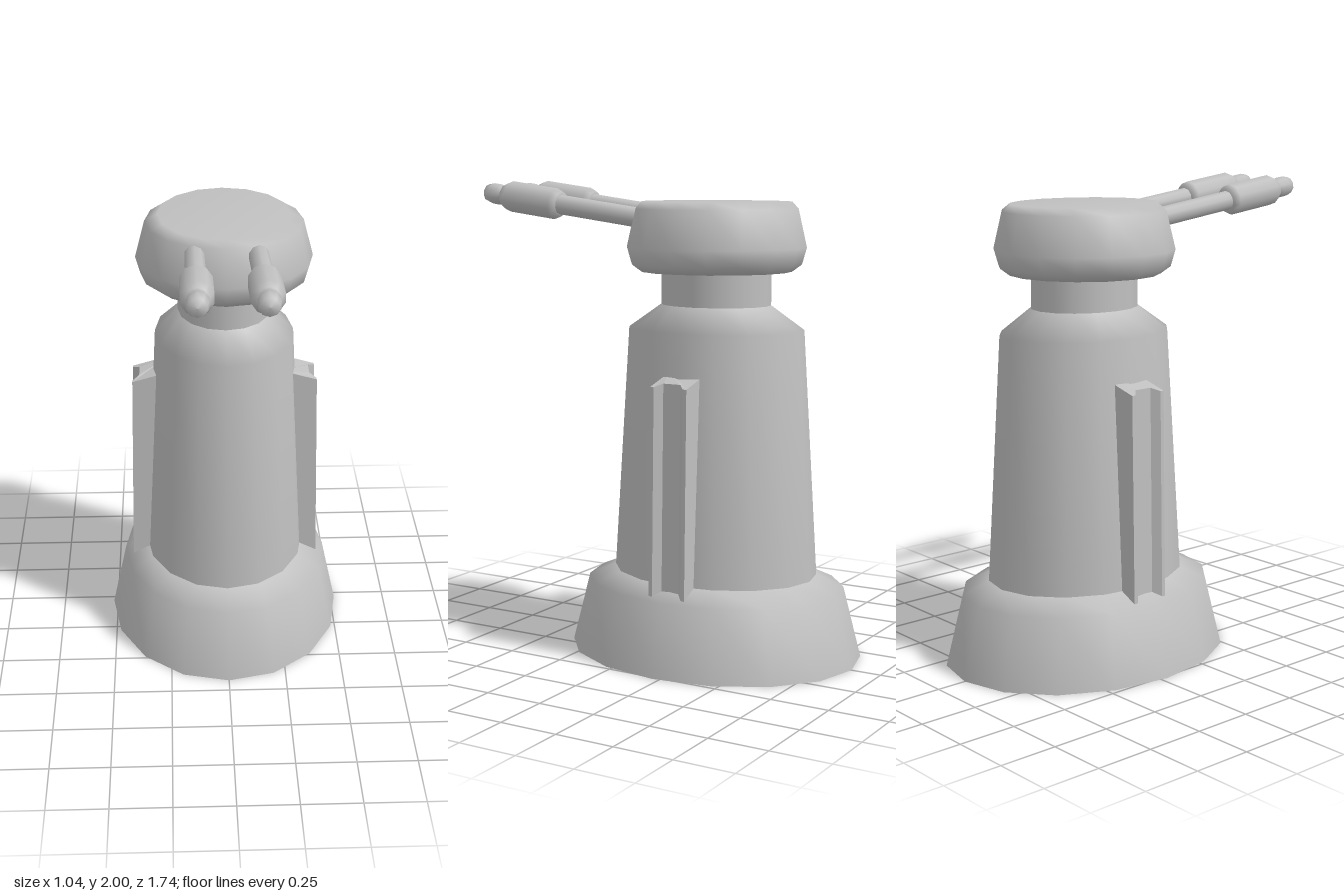
import * as THREE from 'three';

export function createModel() {
  const model = new THREE.Group();
  const grey = new THREE.MeshStandardMaterial({ color: 0xc0c0c0 });
  grey.name = 'light grey';
  const CZ = -0.22; // vertical axis of the tower

  const add = (name, geometry, parent = model) => {
    const mesh = new THREE.Mesh(geometry, grey);
    mesh.name = name;
    parent.add(mesh);
    return mesh;
  };
  // Sixteen-sided oval rings, each given as [half width, half depth, height]
  const ovalTower = (rings) => {
    const geo = new THREE.LatheGeometry(rings.map(([rx, , y]) => new THREE.Vector2(rx, y)), 16);
    const pos = geo.attributes.position;
    const n = rings.length;
    for (let i = 0; i < pos.count; i++) {
      const [rx, rz] = rings[i % n];
      if (rx > 0) pos.setZ(i, pos.getZ(i) * rz / rx);
    }
    return geo.translate(0, 0, CZ);
  };

  // Flared foot and tapering body
  add('foot', ovalTower([
    [0.52, 0.65, 0], [0.455, 0.572, 0.3], [0.355, 0.453, 0.35],
  ]));
  add('body', ovalTower([
    [0.355, 0.453, 0.35], [0.3, 0.388, 1.39], [0.2, 0.24, 1.49],
  ]));
  const underside = new THREE.CircleGeometry(1, 16);
  underside.rotateX(Math.PI / 2).scale(0.52, 1, 0.65).translate(0, 0, CZ);
  add('underside', underside);
  add('neck', ovalTower([[0.2, 0.24, 1.48], [0.2, 0.24, 1.66]]));

  // Rounded turret head
  add('head', ovalTower([
    [0, 0, 1.63], [0.315, 0.32, 1.63], [0.357, 0.36, 1.66], [0.377, 0.38, 1.73],
    [0.335, 0.345, 1.89], [0.28, 0.325, 1.92], [0, 0, 1.92],
  ]));

  // Channelled side fins, with a top that slopes down outwards
  const section = [
    [0.25, -0.085], [0.41, -0.085], [0.41, -0.068], [0.38, -0.04],
    [0.38, 0.04], [0.41, 0.068], [0.41, 0.085], [0.25, 0.085],
  ];
  for (const side of [1, -1]) {
    const outline = section.map(([x, z]) => new THREE.Vector2(side * x, z));
    const geo = new THREE.ExtrudeGeometry(new THREE.Shape(outline), { depth: 0.9, bevelEnabled: false });
    geo.rotateX(-Math.PI / 2).translate(0, 0.31, CZ - 0.005);
    const pos = geo.attributes.position;
    for (let i = 0; i < pos.count; i++) {
      const x = Math.abs(pos.getX(i));
      if (pos.getY(i) > 1) {
        pos.setY(i, 1.225 - Math.max(0, x - 0.31) * 0.45);
        pos.setX(i, side * (x - 0.008));
      } else pos.setX(i, side * (x + 0.008));
    }
    geo.computeVertexNormals();
    add(side > 0 ? 'leftFin' : 'rightFin', geo);
  }

  // Twin barrels, raised slightly: rod, sleeve and rounded muzzle
  const turned = (points) =>
    new THREE.LatheGeometry(points.map(([r, y]) => new THREE.Vector2(r, y)), 10).rotateX(Math.PI / 2);
  const rod = turned([[0, 0], [0.042, 0], [0.042, 0.43]]);
  const sleeve = turned([
    [0.03, 0.405], [0.055, 0.405], [0.067, 0.43], [0.067, 0.665], [0.05, 0.7], [0.03, 0.7],
  ]);
  const muzzle = turned([
    [0.036, 0.69], [0.036, 0.715], [0.045, 0.725], [0.045, 0.765], [0.036, 0.795], [0, 0.803],
  ]);
  for (const side of [1, -1]) {
    const barrel = new THREE.Group();
    barrel.name = side > 0 ? 'leftBarrel' : 'rightBarrel';
    add('rod', rod, barrel);
    add('sleeve', sleeve, barrel);
    add('muzzle', muzzle, barrel);
    barrel.position.set(side * 0.13, 1.85, 0.075);
    barrel.rotation.x = -0.127;
    model.add(barrel);
  }
  return model;
}
